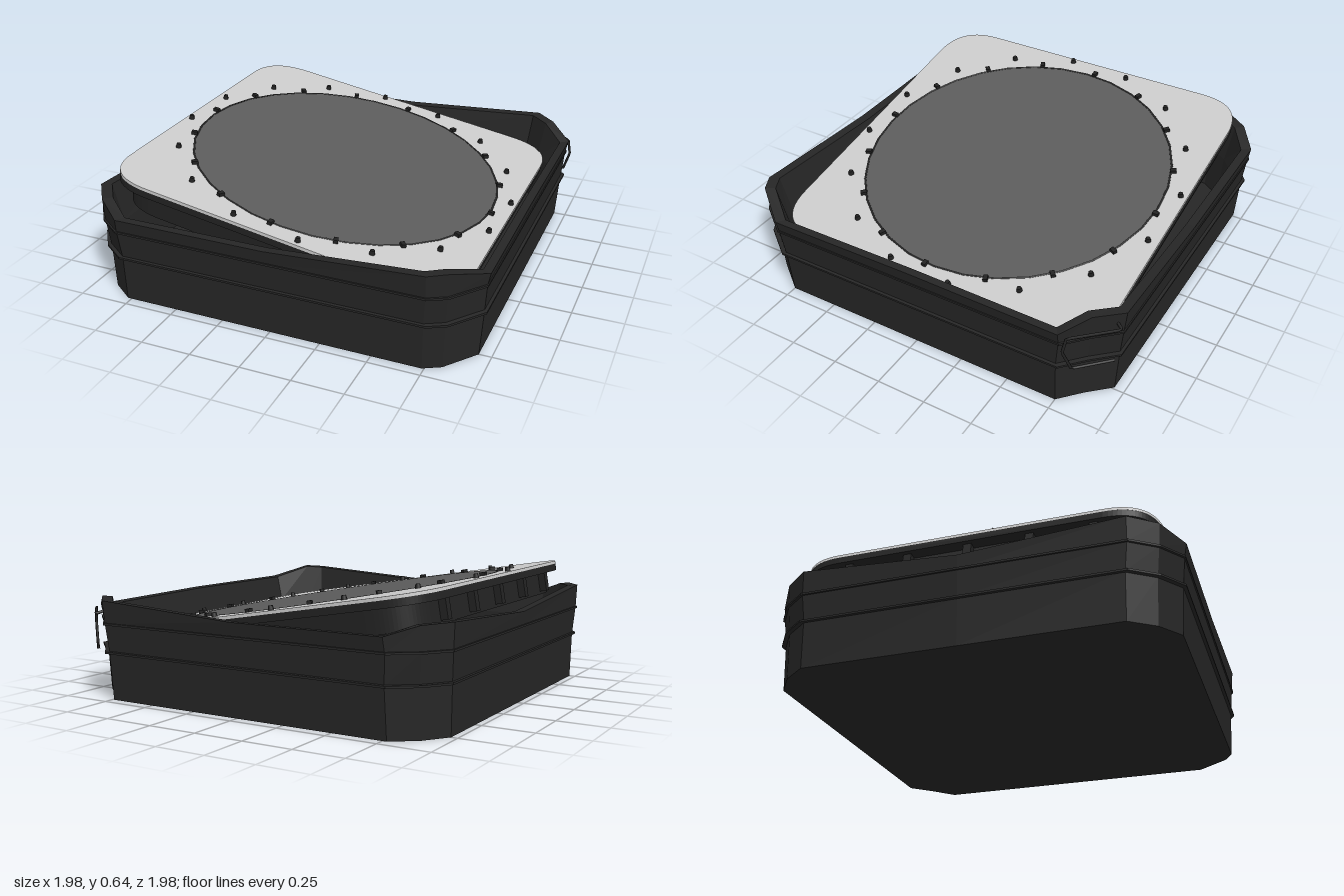
import * as THREE from 'three';

const mat = (color, extra = {}) => new THREE.MeshStandardMaterial({ color, ...extra });
const darkFlat = mat(0x262626, { flatShading: true, side: THREE.DoubleSide });
const dark = mat(0x222222);
const light = mat(0xcccccc);
const discGrey = mat(0x5c5c5c);

// Heights above the dip of the top edge: side-wall end, corner, front or back wall end
const leftRise = [0.05, 0.045, 0];
const rightRise = [-0.008, 0.05, 0.045];

// Bevelled square running from +x to +z, with a midpoint on every side and corner.
// rise scales how far the corners lift over the sides.
function ring(xl, xr, z, c, y, rise = 0) {
  const [ls, lc, lf] = leftRise.map((h) => y + h * rise);
  const [rs, rc, rf] = rightRise.map((h) => y + h * rise);
  return [
    [xr, y, 0], [xr, rs, z - c], [xr - 0.6 * c, rc, z - 0.22 * c], [xr - c, rf, z],
    [0, y, z], [-xl + c, lf, z], [-xl + 0.42 * c, lc, z - 0.42 * c], [-xl, ls, z - c],
    [-xl, y, 0], [-xl, ls, -z + c], [-xl + 0.42 * c, lc, -z + 0.42 * c], [-xl + c, lf, -z],
    [0, y, -z], [xr - c, rf, -z], [xr - 0.52 * c, rc, -z + 0.52 * c], [xr, rs, -z + c],
  ];
}

// Joins neighbouring rings with triangles
function loft(rings) {
  const pos = [];
  for (let r = 0; r < rings.length - 1; r++) {
    const a = rings[r], b = rings[r + 1], n = a.length;
    for (let i = 0; i < n; i++) {
      const j = (i + 1) % n;
      pos.push(...a[i], ...b[i], ...a[j], ...a[j], ...b[i], ...b[j]);
    }
  }
  const g = new THREE.BufferGeometry();
  g.setAttribute('position', new THREE.Float32BufferAttribute(pos, 3));
  g.computeVertexNormals();
  return g;
}

function add(parent, name, geometry, material, p = [0, 0, 0]) {
  const m = new THREE.Mesh(geometry, material);
  m.name = name;
  m.position.set(...p);
  parent.add(m);
  return m;
}

function roundedSquare(hx, hy, r) {
  const s = new THREE.Shape();
  s.moveTo(-hx + r, -hy);
  s.lineTo(hx - r, -hy).quadraticCurveTo(hx, -hy, hx, -hy + r);
  s.lineTo(hx, hy - r).quadraticCurveTo(hx, hy, hx - r, hy);
  s.lineTo(-hx + r, hy).quadraticCurveTo(-hx, hy, -hx, hy - r);
  s.lineTo(-hx, -hy + r).quadraticCurveTo(-hx, -hy, -hx + r, -hy);
  return s;
}

// Horizontal slab with a hole, its top at y = top
function slab(shape, hole, depth, top) {
  shape.holes.push(hole);
  const g = new THREE.ExtrudeGeometry(shape, { depth, bevelEnabled: false, curveSegments: 20 });
  return g.rotateX(-Math.PI / 2).translate(0, top - depth, 0);
}

export function createModel() {
  const model = new THREE.Group();
  model.name = 'tiltedPanelTray';

  // Casing: flat underside, outer wall, dipping top edge, inner wall and floor
  add(model, 'casing', loft([
    ring(0, 0, 0, 0, 0.012),
    ring(0.78, 0.76, 0.77, 0.4, 0.012),
    ring(0.97, 0.94, 0.95, 0.2, 0.005),
    ring(0.975, 0.955, 0.965, 0.21, 0.24),
    ring(0.985, 0.965, 0.98, 0.21, 0.38),
    ring(0.99, 0.978, 0.992, 0.22, 0.45, 1),
    ring(0.945, 0.935, 0.945, 0.2, 0.447, 1),
    ring(0.905, 0.895, 0.91, 0.18, 0.3),
    ring(0.89, 0.88, 0.895, 0.17, 0.06),
    ring(0, 0, 0, 0, 0.06),
  ]), darkFlat);

  // Thin lips running round the wall
  for (const [y, xl, xr, z, grow] of [
    [0.24, 0.972, 0.955, 0.965, 0.015], [0.38, 0.985, 0.965, 0.98, 0.006],
  ]) {
    const at = (dy, d) => ring(xl + d, xr + d, z + d, 0.21, y + dy);
    add(model, 'wallLip', loft([
      at(-0.008, -0.01), at(-0.005, grow), at(0.005, grow), at(0.008, -0.01),
    ]), darkFlat);
  }

  // Wire latch on the back corner
  const latch = new THREE.CurvePath();
  const pts = [
    [0.78, 0.44, -0.96], [0.8, 0.43, -0.99], [0.97, 0.43, -0.81], [0.985, 0.36, -0.8],
    [0.95, 0.25, -0.83], [0.81, 0.25, -0.97],
  ].map((p) => new THREE.Vector3(...p));
  for (let i = 1; i < pts.length; i++) latch.add(new THREE.LineCurve3(pts[i - 1], pts[i]));
  add(model, 'latchWire', new THREE.TubeGeometry(latch, 40, 0.007, 6), dark);

  // Panel assembly, raised on the -x side
  const panel = new THREE.Group();
  panel.name = 'tiltedPanel';
  panel.position.set(-0.012, 0.472, 0);
  panel.rotation.z = -0.172;
  model.add(panel);

  const circle = (r) => new THREE.Path().absarc(0, 0, r, 0, Math.PI * 2, true);
  add(panel, 'panelPlate', slab(roundedSquare(0.885, 0.89, 0.24), circle(0.79), 0.015, 0.005), light);
  add(panel, 'panelFrame',
    slab(roundedSquare(0.885, 0.888, 0.24), roundedSquare(0.83, 0.835, 0.22), 0.035, -0.01), dark);
  add(panel, 'panelSkirt',
    slab(roundedSquare(0.83, 0.85, 0.24), roundedSquare(0.81, 0.83, 0.22), 0.14, -0.015), dark);
  add(panel, 'disc', new THREE.CylinderGeometry(0.79, 0.79, 0.02, 64), discGrey, [0, -0.005, 0]);
  const rim = add(panel, 'discRim', new THREE.TorusGeometry(0.79, 0.008, 6, 32), dark);
  rim.rotation.x = Math.PI / 2;

  // Screws on the plate alternate with clips on the disc rim
  for (let i = 0; i < 16; i++) {
    const a = (i * Math.PI) / 8 + 0.14;
    add(panel, 'screw', new THREE.CylinderGeometry(0.011, 0.015, 0.024, 8), dark,
      [0.865 * Math.cos(a), 0.014, -0.865 * Math.sin(a)]);
    const b = a + Math.PI / 16;
    const clip = add(panel, 'rimClip', new THREE.BoxGeometry(0.03, 0.02, 0.022), dark,
      [0.8 * Math.cos(b), 0.012, -0.8 * Math.sin(b)]);
    clip.rotation.y = b;
  }

  // Brackets below the raised edge
  for (let i = 0; i < 5; i++) {
    add(panel, 'raisedEdgeBracket', new THREE.BoxGeometry(0.04, 0.1, 0.04), dark,
      [-0.845, -0.09, -0.6 + i * 0.3]);
  }
  return model;
}
